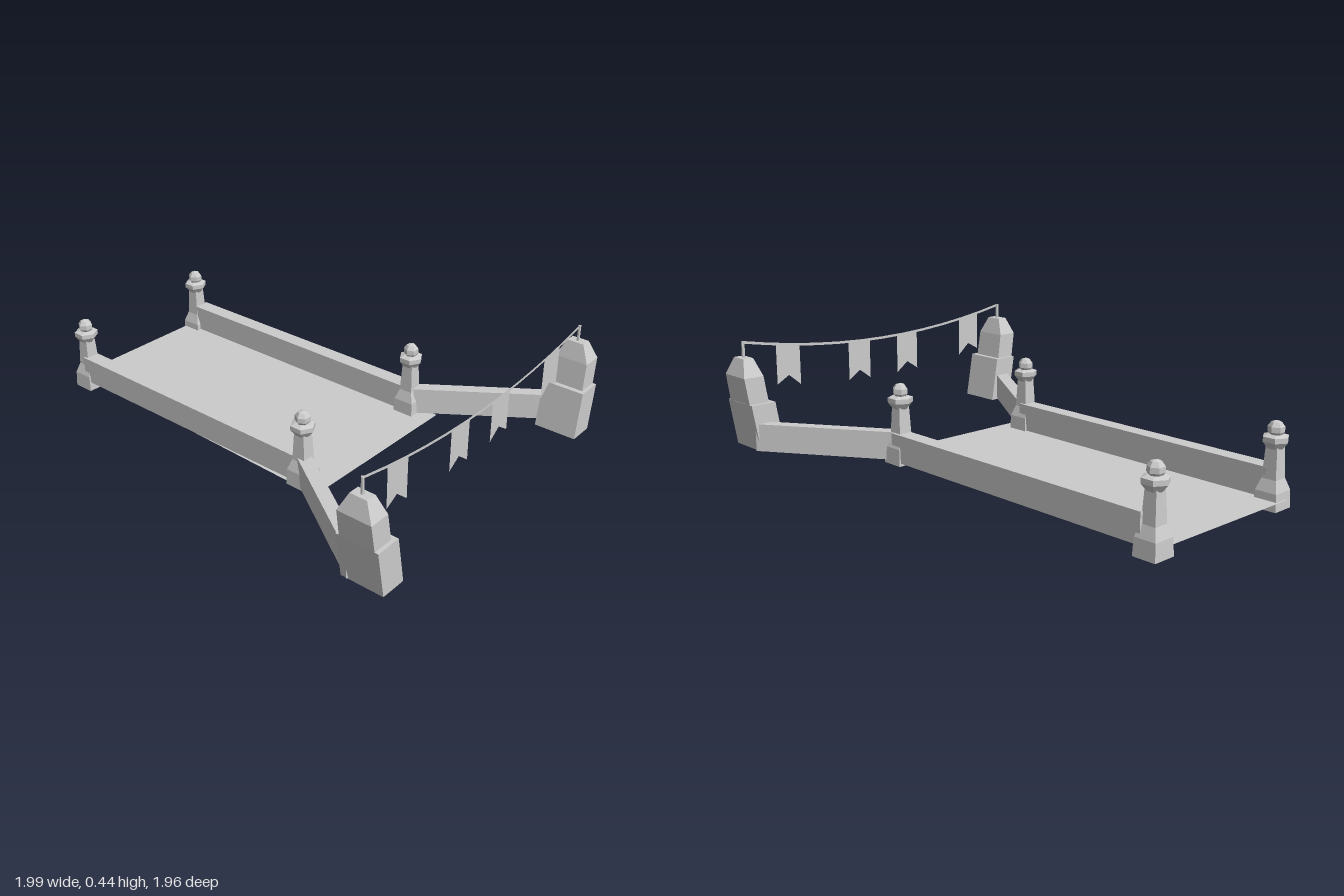
import * as THREE from 'three';

const material = new THREE.MeshStandardMaterial({ color: 0xcccccc, flatShading: true, side: THREE.DoubleSide });
const TURN = 0.835; // heading of the bridge: local z runs along it, local x across it

function add(parent, name, geometry, x = 0, y = 0, z = 0) {
  const mesh = new THREE.Mesh(geometry, material);
  mesh.name = name;
  mesh.position.set(x, y, z);
  parent.add(mesh);
  return mesh;
}

// Box whose bottom and top are rectangles [y, centreX, width, depth]
function taperedBlock(bottom, top) {
  const g = new THREE.BoxGeometry(1, 1, 1);
  const p = g.attributes.position;
  for (let i = 0; i < p.count; i++) {
    const [y, cx, w, d] = p.getY(i) < 0 ? bottom : top;
    p.setXYZ(i, cx + p.getX(i) * w, y, p.getZ(i) * d);
  }
  g.computeVertexNormals();
  return g;
}

// Straight parapet between two ground points [x, z]
function wall(parent, name, a, b, width) {
  const dx = b[0] - a[0], dz = b[1] - a[1];
  const geometry = new THREE.BoxGeometry(width, 0.102, Math.hypot(dx, dz));
  const mesh = add(parent, name, geometry, (a[0] + b[0]) / 2, 0.087, (a[1] + b[1]) / 2);
  mesh.rotation.y = Math.atan2(dx, dz);
}

// Post with a chamfered foot, tapered shaft, six-sided collar and ball
function post(parent, name, x, y, z) {
  const group = new THREE.Group();
  group.name = name;
  group.position.set(x, y, z);
  group.rotation.y = TURN;
  add(group, 'foot', taperedBlock([0, 0, 0.085, 0.085], [0.06, 0, 0.08, 0.08]));
  add(group, 'footChamfer', taperedBlock([0.06, 0, 0.08, 0.08], [0.1, 0, 0.053, 0.053]));
  add(group, 'shaft', taperedBlock([0.1, 0, 0.053, 0.053], [0.215, 0, 0.042, 0.042]));
  const collar = [[0, 0.2], [0.027, 0.2], [0.045, 0.223], [0.045, 0.24], [0.028, 0.246], [0, 0.246]];
  add(group, 'collar', new THREE.LatheGeometry(collar.map(([r, h]) => new THREE.Vector2(r, h)), 6));
  add(group, 'ball', new THREE.SphereGeometry(0.029, 6, 5), 0, 0.263, 0);
  parent.add(group);
}

// Gate pillar leaning outward along its local x
function pillar(parent, name, x, z, turn) {
  const group = new THREE.Group();
  group.name = name;
  group.position.set(x, 0, z);
  group.rotation.y = turn;
  add(group, 'plinth', taperedBlock([0.033, 0, 0.1, 0.165], [0.21, 0.03, 0.1, 0.162]));
  add(group, 'body', taperedBlock([0.2, 0.038, 0.08, 0.135], [0.31, 0.055, 0.08, 0.13]));
  add(group, 'cap', taperedBlock([0.31, 0.055, 0.08, 0.13], [0.375, 0.055, 0.04, 0.065]));
  add(group, 'pole', new THREE.CylinderGeometry(0.006, 0.006, 0.065, 6), 0.055, 0.402, 0);
  parent.add(group);
}

// Sagging ribbon with swallow-tailed flags, hung in the vertical plane between the poles
function bunting(parent, a, b) {
  const group = new THREE.Group();
  group.name = 'bunting';
  const dx = b[0] - a[0], dz = b[1] - a[1], length = Math.hypot(dx, dz);
  group.position.set(a[0], 0, a[1]);
  group.rotation.y = Math.atan2(-dz, dx);
  const height = t => 0.367 + 0.064 * (2 * t - 1) ** 2;

  const ribbon = new THREE.PlaneGeometry(length, 0.01, 12, 1);
  const p = ribbon.attributes.position;
  for (let i = 0; i < p.count; i++) {
    const t = p.getX(i) / length + 0.5;
    p.setXYZ(i, t * length, height(t) + p.getY(i), 0);
  }
  add(group, 'ribbon', ribbon);

  for (const t of [0.135, 0.4, 0.59, 0.85]) {
    const half = 0.052, e = half / length;
    const left = height(t - e), right = height(t + e), mid = height(t);
    const flag = new THREE.Shape([
      [-half, left], [-half, left - 0.155], [0, mid - 0.118], [half, right - 0.155], [half, right],
    ].map(c => new THREE.Vector2(...c)));
    add(group, 'flag', new THREE.ShapeGeometry(flag), t * length, 0, 0);
  }
  parent.add(group);
}

export function createModel() {
  const model = new THREE.Group();
  model.name = 'bridge';

  // Thin deck
  const deck = new THREE.Shape([[-0.55, 0.96], [-0.99, 0.485], [-0.064, -0.416], [0.416, 0.1]]
    .map(c => new THREE.Vector2(...c)));
  add(model, 'deck', new THREE.ShapeGeometry(deck).rotateX(-Math.PI / 2), 0, 0.034, 0);

  // Side parapets and splayed approach walls
  wall(model, 'rightParapet', [-0.94, -0.45], [-0.1, 0.32], 0.06);
  wall(model, 'leftParapet', [-0.52, -0.91], [0.325, -0.15], 0.06);
  wall(model, 'rightApproachWall', [-0.1, 0.33], [0.04, 0.86], 0.05);
  wall(model, 'leftApproachWall', [0.33, -0.14], [0.86, -0.07], 0.045);

  // Corner posts
  post(model, 'backRightPost', -0.945, 0, -0.46);
  post(model, 'backLeftPost', -0.54, 0, -0.92);
  post(model, 'frontRightPost', -0.102, 0.025, 0.325);
  post(model, 'frontLeftPost', 0.315, 0.025, -0.15);

  // Gate pillars and the bunting between them
  pillar(model, 'leftPillar', 0.873, 0.002, TURN);
  pillar(model, 'rightPillar', 0.095, 0.862, TURN + Math.PI);
  bunting(model, [0.058, 0.903], [0.91, -0.039]);

  return model;
}
